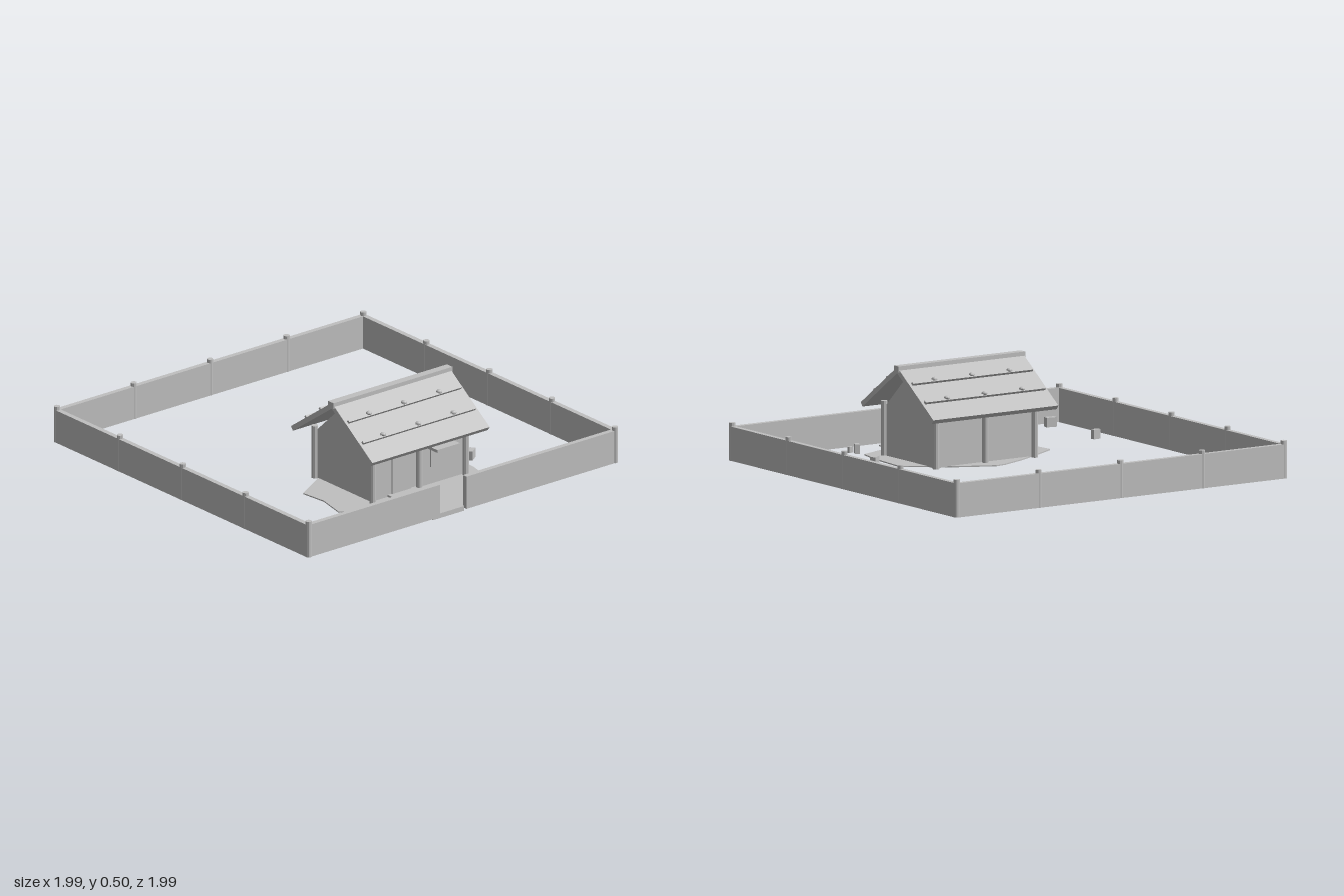
import * as THREE from 'three';

export function createModel() {
  const root = new THREE.Group();
  root.name = 'fencedHut';
  const grey = new THREE.MeshStandardMaterial({ color: 0xc0c0c0, flatShading: true });
  grey.name = 'plain grey';

  const add = (name, geo, x, y, z, parent = root) => {
    const m = new THREE.Mesh(geo, grey);
    m.name = name;
    m.position.set(x, y, z);
    parent.add(m);
    return m;
  };
  const box = (name, w, h, d, x, y, z, parent) =>
    add(name, new THREE.BoxGeometry(w, h, d), x, y, z, parent);
  const post = (name, r, y0, y1, x, z, parent) =>
    add(name, new THREE.CylinderGeometry(r, r, y1 - y0, 10), x, (y0 + y1) / 2, z, parent);

  // Fence: four sides, with a gate gap in the front
  const fence = new THREE.Group();
  fence.name = 'fence';
  root.add(fence);
  const E = 0.981, T = 0.027, FY = 0.094, FH = 0.172;
  for (const s of [-1, 1]) box('sideFence', T, FH, 2 * E, s * E, FY, 0, fence);
  box('backFence', 2 * E, FH, T, 0, FY, -E, fence);
  for (const [a, b] of [[-E, -0.15], [0.02, E]])
    box('frontFence', b - a, FH, T, (a + b) / 2, FY, 0.978, fence);
  for (const p of [-E, -0.49, 0, 0.49, E]) {
    for (const s of [-1, 1]) post('sideFencePost', 0.016, 0.008, 0.198, s * E, p, fence);
    if (Math.abs(p) < 0.9) post('backFencePost', 0.016, 0.008, 0.198, p, -E, fence);
  }

  // Irregular ground patch under the hut
  const outline = [[-0.48, 0.33], [-0.38, 0.27], [-0.2, 0.17], [-0.06, 0.11], [0, 0.1], [0.04, 0.12],
    [0.2, 0.2], [0.37, 0.33], [0.41, 0.35], [0.39, 0.6], [0.36, 0.73], [0.16, 0.81], [0.17, 0.83],
    [0.15, 0.91], [0.02, 0.965], [-0.12, 0.92], [-0.19, 0.755], [-0.37, 0.725], [-0.5, 0.63], [-0.465, 0.47]];
  const patch = new THREE.Shape(outline.map(([x, z]) => new THREE.Vector2(x, z)));
  const patchGeo = new THREE.ExtrudeGeometry(patch, { depth: 0.006, bevelEnabled: false });
  patchGeo.rotateX(Math.PI / 2);
  add('groundPatch', patchGeo, 0, 0.014, 0);
  box('path', 0.2, 0.025, 0.41, -0.09, 0.0125, 0.782);

  // Hut, modelled around its own centre line
  const hut = new THREE.Group();
  hut.name = 'hut';
  hut.position.z = 0.423;
  root.add(hut);

  // Walls with gable ends
  const gable = new THREE.Shape([[-0.21, 0.01], [0.21, 0.01], [0.21, 0.27], [0, 0.465], [-0.21, 0.27]]
    .map(([z, y]) => new THREE.Vector2(z, y)));
  const wallGeo = new THREE.ExtrudeGeometry(gable, { depth: 0.59, bevelEnabled: false });
  wallGeo.translate(0, 0, -0.295);
  wallGeo.rotateY(Math.PI / 2);
  add('walls', wallGeo, 0, 0, 0, hut);
  for (const x of [-0.297, 0, 0.297])
    for (const s of [-1, 1]) post('wallPost', 0.017, 0.01, 0.288, x, s * 0.226, hut);

  // Door, window and the propped shutter
  box('door', 0.12, 0.21, 0.009, -0.105, 0.115, 0.213, hut);
  box('window', 0.11, 0.1, 0.009, 0.137, 0.155, 0.213, hut);
  box('shutter', 0.145, 0.015, 0.08, 0.137, 0.215, 0.248, hut);

  // Roof: two slabs, ridge beam, battens and weight stones
  const slope = Math.atan(0.7), RIDGE = 0.497, HALF = 0.317;
  const length = HALF / Math.cos(slope), thick = 0.025;
  for (const s of [-1, 1]) {
    const side = new THREE.Group();
    side.name = s > 0 ? 'frontRoof' : 'backRoof';
    side.position.y = RIDGE;
    side.rotation.x = s * slope;
    hut.add(side);
    box('roofSlab', 0.75, thick, length, 0, -thick / 2, s * length / 2, side);
    for (const off of [0.107, 0.218]) {
      box('batten', 0.72, 0.014, 0.014, 0, 0.006, s * off / Math.cos(slope), side);
      for (const x of [-0.225, 0, 0.225]) {
        const g = new THREE.SphereGeometry(0.015, 10, 6).scale(1, 0.75, 1);
        add('roofStone', g, x, RIDGE - 0.7 * off + 0.016, s * off, hut);
      }
    }
  }
  box('ridgeBeam', 0.76, 0.03, 0.042, 0, 0.488, 0, hut);

  // Loose blocks in the yard: x, z, width, depth, turn in degrees
  for (const [x, z, w, d, turn] of [
    [-0.87, 0.5, 0.04, 0.024, 5], [-0.88, 0.91, 0.055, 0.032, -10], [0.47, 0.48, 0.055, 0.03, 35],
    [0.34, 0.825, 0.043, 0.024, 65], [0.355, 0.86, 0.026, 0.016, 10],
    [0.785, 0.888, 0.05, 0.032, -40], [0.835, 0.842, 0.052, 0.03, 35]]) {
    const h = w < 0.03 ? 0.03 : 0.048;
    box('looseBlock', w, h, d, x, h / 2 + 0.002, z).rotation.y = THREE.MathUtils.degToRad(turn);
  }

  return root;
}
